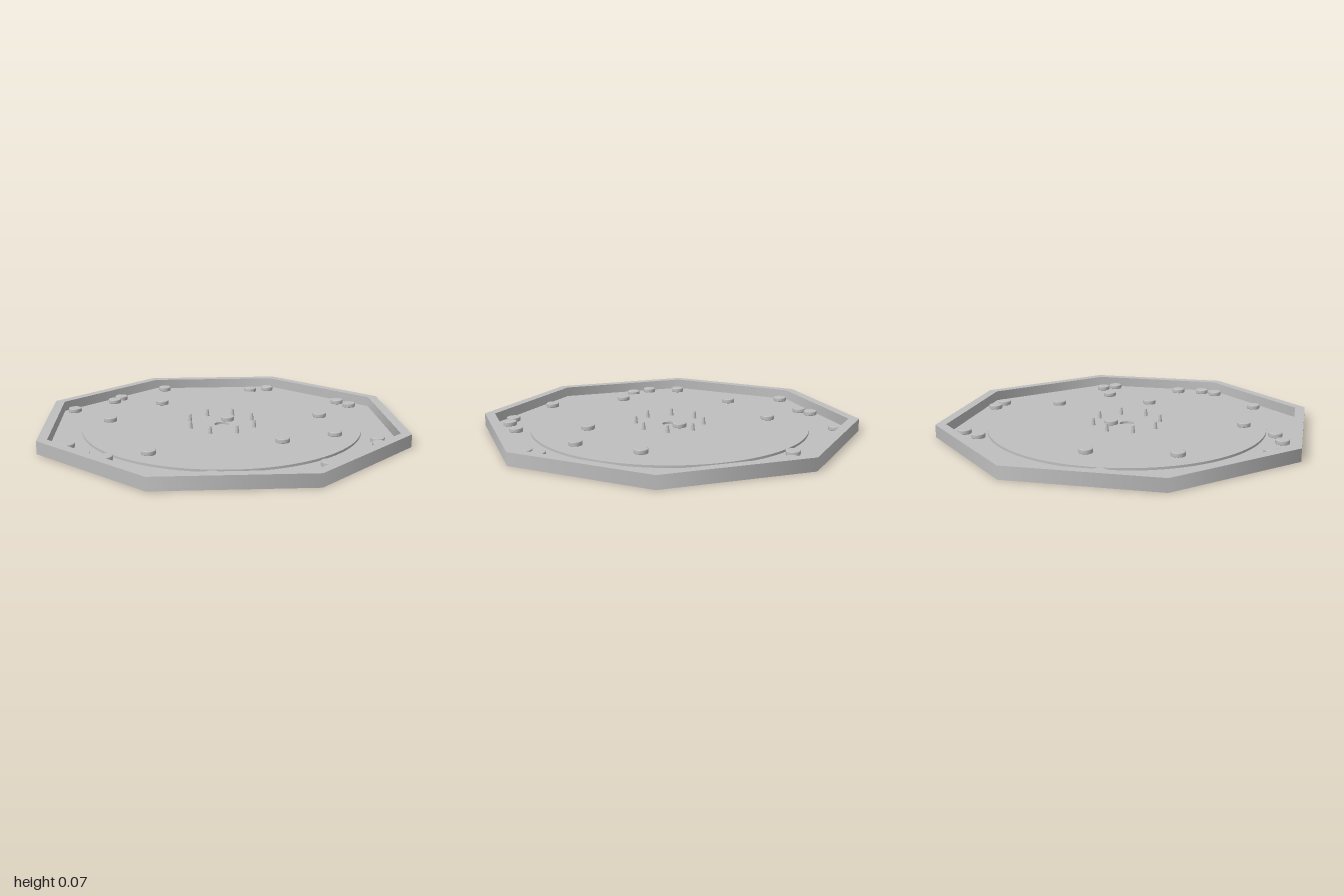
import * as THREE from 'three';

const RIM_TOP = 0.072, FLOOR = 0.014, FIELD = 0.027;
const APOTHEM = Math.cos(Math.PI / 8);

export function createModel() {
  const board = new THREE.Group();
  board.name = 'discGameBoard';
  const grey = new THREE.MeshStandardMaterial({ color: 0xbfbfbf, side: THREE.DoubleSide });
  grey.name = 'grey';

  const add = (name, geometry, parent = board) => {
    const mesh = new THREE.Mesh(geometry, grey);
    mesh.name = name;
    parent.add(mesh);
    return mesh;
  };
  // open wall between two heights
  const wall = (rTop, rBottom, y0, y1, sides) =>
    new THREE.CylinderGeometry(rTop, rBottom, y1 - y0, sides, 1, true).translate(0, (y0 + y1) / 2, 0);
  // flat face, looking up, with an optional round hole
  const face = (inner, outer, y, sides) => {
    const g = inner ? new THREE.RingGeometry(inner, outer, sides) : new THREE.CircleGeometry(outer, sides);
    return g.rotateX(-Math.PI / 2).translate(0, y, 0);
  };

  // octagonal tray
  const tray = new THREE.Group();
  tray.name = 'tray';
  tray.rotation.y = Math.PI / 8;
  board.add(tray);
  const outer = 1 / APOTHEM, inner = 0.945 / APOTHEM;
  add('rimOuterWall', wall(outer, outer, 0, RIM_TOP, 8), tray);
  add('rimInnerWall', wall(inner, inner, FLOOR, RIM_TOP, 8), tray);
  add('rimTop', face(inner, outer, RIM_TOP, 8), tray);
  add('ditchFloor', face(0, inner, FLOOR, 8), tray);
  add('underside', new THREE.CircleGeometry(outer, 8).rotateX(Math.PI / 2), tray);

  // raised round field with a centre hole
  add('fieldTop', face(0.042, 0.797, FIELD, 96));
  add('fieldEdge', wall(0.797, 0.797, FLOOR, FIELD, 96));
  add('centreHoleWall', wall(0.042, 0.042, FLOOR, FIELD, 32));

  // thin scoring rings
  for (const r of [0.2, 0.48, 0.68]) {
    add('scoringRing', face(r - 0.002, r + 0.002, FIELD + 0.0005, 96));
  }

  // ring of tapered pegs
  for (let i = 0; i < 8; i++) {
    const a = Math.PI / 8 + i * Math.PI / 4;
    const peg = add('peg', new THREE.CylinderGeometry(0.007, 0.012, 0.042, 12));
    peg.position.set(0.196 * Math.cos(a), FIELD + 0.021, 0.196 * Math.sin(a));
  }

  // playing discs with softened edges, on the field or in the ditch
  const R = 0.039, H = 0.025, B = 0.004;
  const side = new THREE.LatheGeometry([
    [R - B, 0], [R - B * 0.3, B * 0.3], [R, B], [R, H - B], [R - B * 0.3, H - B * 0.3], [R - B, H],
  ].map(([x, y]) => new THREE.Vector2(x, y)), 28);
  const top = face(0, R - B, H, 28);
  const spots = [
    [-0.35, -0.855], [-0.41, -0.75], [0.2, -0.88], [0.305, -0.86], [0.33, -0.505], [0.615, -0.25],
    [0.83, -0.345], [0.885, -0.275], [-0.86, -0.39], [-0.895, -0.03], [-0.865, 0.055], [-0.58, -0.09],
    [-0.03, -0.085], [0.475, 0.04], [0.86, 0.165], [0.87, 0.32], [0.835, 0.41], [0.545, 0.685],
    [0.085, 0.665], [-0.04, 0.85], [-0.165, 0.895], [-0.35, 0.845], [-0.885, 0.36], [-0.53, 0.385],
  ];
  for (const [x, z] of spots) {
    const disc = new THREE.Group();
    disc.name = 'playingDisc';
    disc.position.set(x, Math.hypot(x, z) < 0.8 ? FIELD : FLOOR, z);
    add('discSide', side, disc);
    add('discTop', top, disc);
    board.add(disc);
  }
  return board;
}
